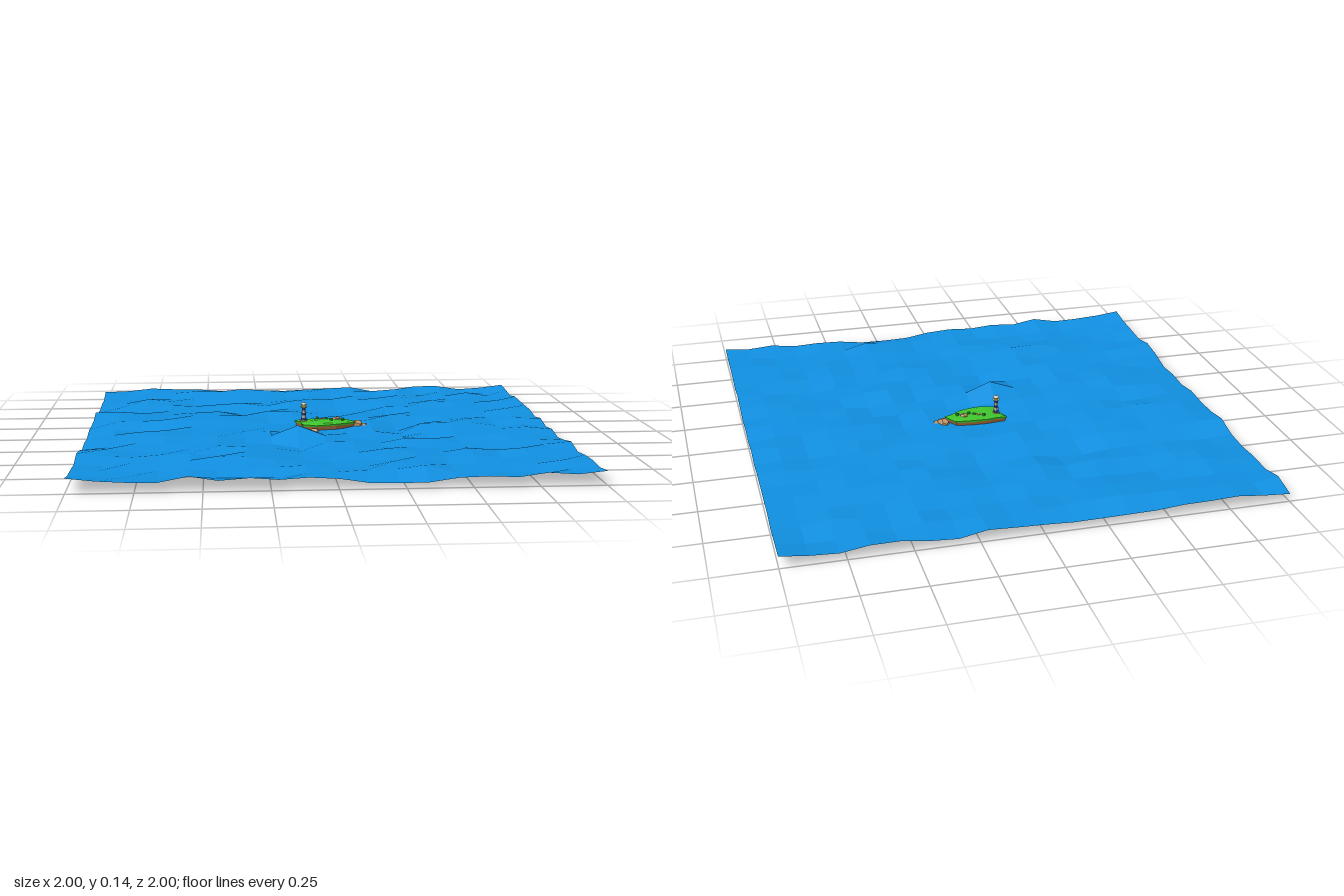
import * as THREE from 'three';

const material = (color) => new THREE.MeshStandardMaterial({ color, flatShading: true, side: THREE.DoubleSide });

// Repeatable value in 0..1 for a pair of whole numbers
function hash(i, j) {
  const s = Math.sin(i * 127.1 + j * 311.7) * 43758.5453;
  return s - Math.floor(s);
}

function add(parent, name, geometry, mat, x = 0, y = 0, z = 0) {
  const mesh = new THREE.Mesh(geometry, mat);
  mesh.name = name;
  mesh.position.set(x, y, z);
  parent.add(mesh);
  return mesh;
}

// Grid of waves, one flat tone per square
function seaGeometry() {
  const n = 18;
  const grid = new THREE.PlaneGeometry(2, 2, n, n).rotateX(-Math.PI / 2);
  const p = grid.attributes.position;
  for (let k = 0; k < p.count; k++) {
    const i = k % (n + 1), j = Math.floor(k / (n + 1));
    const x = p.getX(k), z = p.getZ(k);
    const noise = 0.45 * hash(i, j) + 0.55 * (0.6 * hash(i >> 1, j + 40) + 0.4 * hash((i + 1) >> 1, j + 40));
    const swell = 0.75 + 0.4 * Math.max(0, 1 - Math.hypot(x, z - 0.2));
    let y = 0.042 + (noise - 0.5) * 0.06 * swell;
    if (Math.hypot(x - 0.02, z + 0.02) < 0.2) y = 0.036 + (noise - 0.5) * 0.015;
    if (i === 8 && j === 11) y = 0.093;
    p.setY(k, THREE.MathUtils.clamp(y, 0.012, 0.095));
  }
  const g = grid.toNonIndexed();
  g.computeVertexNormals();
  const normal = g.attributes.normal;
  for (let q = 0; q < normal.count; q += 6) {
    const v = new THREE.Vector3().fromBufferAttribute(normal, q);
    v.add(new THREE.Vector3().fromBufferAttribute(normal, q + 3)).normalize();
    for (let k = 0; k < 6; k++) normal.setXYZ(q + k, v.x, v.y, v.z);
  }
  return g;
}

// Closed solid from scaled copies of one outline; levels are [y, scale, roughness]
function layered(outline, levels, cx, cz) {
  const pos = [], index = [], n = outline.length;
  levels.forEach(([y, s, rough], r) => outline.forEach(([x, z], k) =>
    pos.push(cx + (x - cx) * s, y + (hash(k, r + 7) - 0.5) * rough, cz + (z - cz) * s)));
  const bottom = pos.length / 3, top = bottom + 1, last = (levels.length - 1) * n;
  pos.push(cx, levels[0][0], cz, cx, levels[levels.length - 1][0], cz);
  for (let k = 0; k < n; k++) {
    const m = (k + 1) % n;
    for (let r = 0; r < last; r += n) {
      index.push(r + k, r + n + k, r + m, r + m, r + n + k, r + n + m);
    }
    index.push(bottom, k, m, top, last + m, last + k);
  }
  const g = new THREE.BufferGeometry();
  g.setAttribute('position', new THREE.Float32BufferAttribute(pos, 3));
  g.setIndex(index);
  g.computeVertexNormals();
  return g;
}

// Chipped boulder
function rockGeometry(w, h, d, seed) {
  const g = new THREE.DodecahedronGeometry(0.5, 0);
  const p = g.attributes.position;
  for (let k = 0; k < p.count; k++) {
    const key = Math.round(p.getX(k) * 50) + Math.round(p.getY(k) * 50) * 3;
    const s = 0.85 + 0.3 * hash(key, Math.round(p.getZ(k) * 50) + seed);
    p.setXYZ(k, p.getX(k) * s * w, p.getY(k) * s * h, p.getZ(k) * s * d);
  }
  g.computeVertexNormals();
  return g;
}

export function createModel() {
  const model = new THREE.Group();
  const water = new THREE.MeshStandardMaterial({ color: 0x108fe0, side: THREE.DoubleSide });
  const earth = material(0x9a6238), stone = material(0xc09468), grass = material(0x3fc42c);
  const white = material(0xf2f2f2), blue = material(0x2c4a8c), yellow = material(0xe8d23a);
  const leaf = material(0x2f9a26);

  add(model, 'sea', seaGeometry(), water);

  // Island: earth cliff with a grass top
  const island = new THREE.Group();
  island.name = 'island';
  model.add(island);
  const outline = [
    [-0.11, -0.08], [-0.06, -0.085], [-0.02, -0.09], [0.05, -0.09], [0.12, -0.08], [0.14, -0.05],
    [0.155, -0.02], [0.12, 0], [0.07, 0.03], [0.02, 0.04], [-0.02, 0.05], [-0.08, 0.03], [-0.085, -0.03],
  ];
  add(island, 'cliff', layered(outline, [[0.012, 0.6, 0.006], [0.03, 0.92, 0.006], [0.054, 0.96, 0.004]], 0.02, -0.025), earth);
  add(island, 'grassTop', layered(outline, [[0.05, 0.97, 0.004], [0.058, 1, 0.006], [0.064, 0.85, 0.006], [0.067, 0.45, 0.006]], 0.02, -0.025), grass);

  // Rocks: name, position, size, turn
  const rocks = [
    ['shoreRock', 0.165, 0.04, -0.045, 0.045, 0.045, 0.065, 0.3],
    ['shoreRockSmall', 0.195, 0.035, -0.03, 0.03, 0.03, 0.05, -0.2],
    ['frontRock', -0.03, 0.024, 0.066, 0.055, 0.046, 0.036, -0.3],
    ['topRock', 0.075, 0.068, -0.048, 0.032, 0.018, 0.04, 0.6],
    ['topRockSmall', 0.01, 0.067, -0.05, 0.02, 0.012, 0.016, 0.2],
  ];
  rocks.forEach(([name, x, y, z, w, h, d, turn], k) => {
    add(model, name, rockGeometry(w, h, d, k), stone, x, y, z).rotation.y = turn;
  });

  // Low bushes on the grass
  [[0.03, -0.045], [0.05, -0.03], [-0.01, -0.06], [0.1, -0.03]].forEach(([x, z]) => {
    add(island, 'bush', new THREE.IcosahedronGeometry(0.009, 0), leaf, x, 0.068, z);
  });

  // Lighthouse: striped tapering tower, gallery, lamp and roof
  const tower = new THREE.Group();
  tower.name = 'lighthouse';
  tower.position.set(-0.07, 0.058, -0.04);
  model.add(tower);
  const radius = (y) => 0.0125 - y * 0.08;
  add(tower, 'base', new THREE.CylinderGeometry(0.015, 0.018, 0.008, 8), stone, 0, 0.004, 0);
  for (let k = 0; k < 5; k++) {
    const y = 0.008 + k * 0.011;
    add(tower, 'stripe', new THREE.CylinderGeometry(radius(y + 0.011), radius(y), 0.011, 8), k % 2 ? white : blue, 0, y + 0.0055, 0);
  }
  add(tower, 'gallery', new THREE.CylinderGeometry(0.016, 0.012, 0.004, 8), white, 0, 0.065, 0);
  add(tower, 'lamp', new THREE.CylinderGeometry(0.009, 0.009, 0.011, 8), yellow, 0, 0.0725, 0);
  add(tower, 'roof', new THREE.CylinderGeometry(0.004, 0.015, 0.009, 8), white, 0, 0.0825, 0);

  return model;
}
